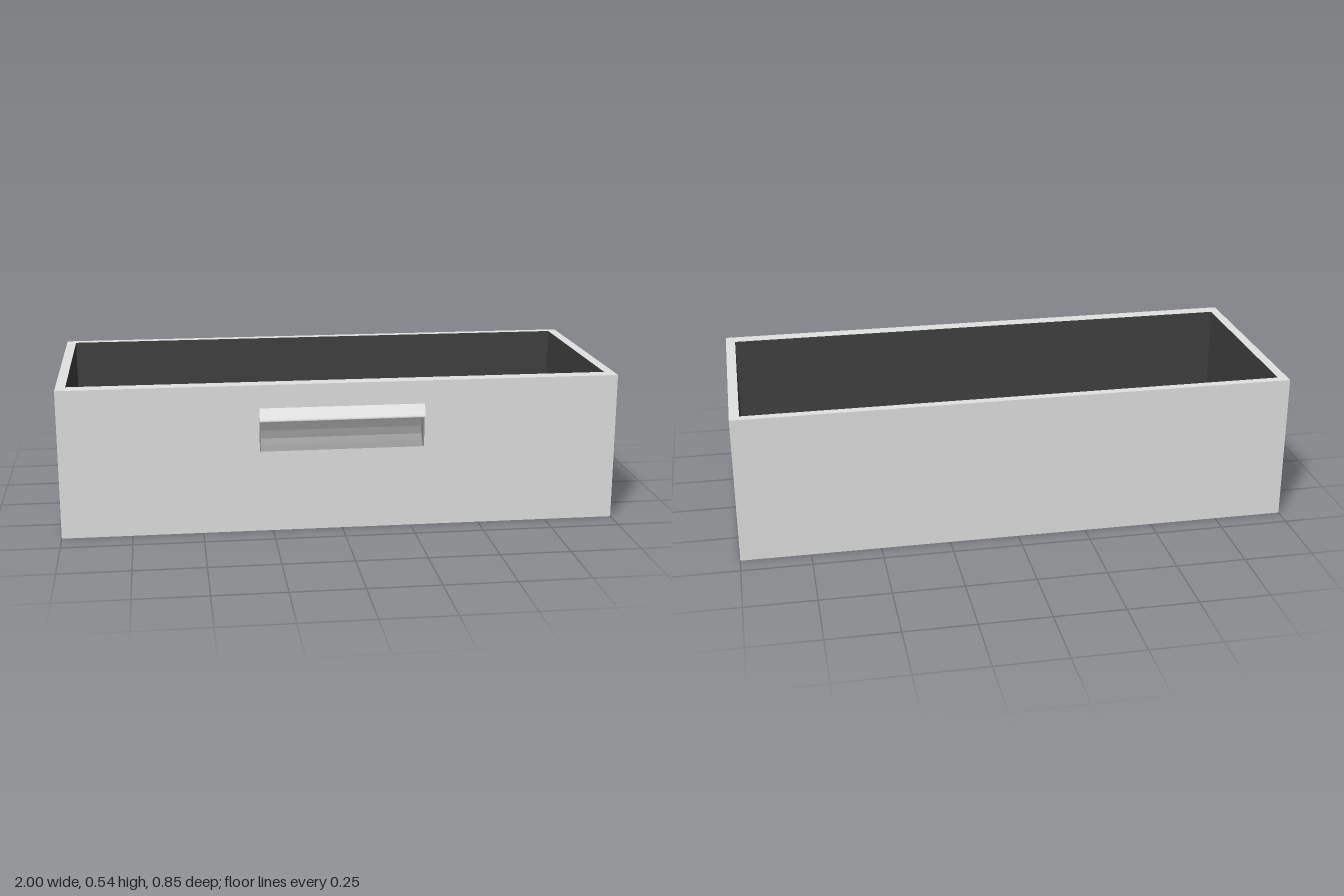
import * as THREE from 'three';

const mat = (name, color) => {
  const m = new THREE.MeshStandardMaterial({ color });
  m.name = name;
  return m;
};

export function createModel() {
  const body = mat('light grey body', 0xe2e2e2);
  const inner = mat('dark inner wall', 0x404040);
  const floor = mat('dark grey floor', 0x636363);
  const recess = mat('mid grey recess', 0x909090);

  const H = 0.537, back = -0.427, front = 0.406;
  const inBack = -0.395, inFront = 0.353, inX = 0.965, base = 0.09;
  const lining = inFront + 0.005;
  const hw = 0.295, low = 0.295, high = 0.41;
  const group = new THREE.Group();
  group.name = 'drawer';

  const add = (name, geometry, material) => {
    const m = new THREE.Mesh(geometry, material);
    m.name = name;
    group.add(m);
  };

  // box given by its limits
  const box = (name, x0, x1, y0, y1, z0, z1, material) => {
    const g = new THREE.BoxGeometry(x1 - x0, y1 - y0, z1 - z0);
    g.translate((x0 + x1) / 2, (y0 + y1) / 2, (z0 + z1) / 2);
    add(name, g, material);
  };

  // body material on all faces but one (order +x -x +y -y +z -z)
  const facing = (face, other) => Array.from({ length: 6 }, (_, i) => (i === face ? other : body));

  // z-y profile swept along x
  const sweep = (name, shape, material) => {
    const g = new THREE.ExtrudeGeometry(shape, { depth: hw * 2, bevelEnabled: false, curveSegments: 10 });
    g.rotateY(-Math.PI / 2).translate(hw, 0, 0);
    add(name, g, material);
  };

  // tray: bottom, back and side walls
  box('bottom', -inX, inX, 0, base, inBack, inFront, facing(2, floor));
  box('backWall', -1, 1, 0, H, back, inBack, facing(4, inner));
  box('leftWall', inX, 1, 0, H, inBack, inFront, facing(1, inner));
  box('rightWall', -1, -inX, 0, H, inBack, inFront, facing(0, inner));

  // front wall: lining plus a panel with the handle opening
  box('frontLining', -1, 1, 0, H, inFront, lining, facing(5, inner));
  const panel = new THREE.Shape([
    new THREE.Vector2(-1, 0), new THREE.Vector2(1, 0),
    new THREE.Vector2(1, H), new THREE.Vector2(-1, H),
  ]);
  panel.holes.push(new THREE.Path([
    new THREE.Vector2(-hw, low), new THREE.Vector2(-hw, high),
    new THREE.Vector2(hw, high), new THREE.Vector2(hw, low),
  ]));
  const panelGeo = new THREE.ExtrudeGeometry(panel, { depth: front - lining, bevelEnabled: false });
  panelGeo.translate(0, 0, lining);
  add('frontPanel', panelGeo, body);

  // finger recess: upright back, scooped out to the lower edge
  sweep('recess', new THREE.Shape([
    new THREE.Vector2(lining, low), new THREE.Vector2(front, low),
    new THREE.Vector2(0.385, 0.312), new THREE.Vector2(0.37, 0.333),
    new THREE.Vector2(0.364, 0.36), new THREE.Vector2(0.364, high),
    new THREE.Vector2(lining, high),
  ]), recess);
  box('recessTop', -hw, hw, high - 0.003, high, lining, front, recess);
  for (const s of [-1, 1]) {
    const x = s * (hw - 0.002);
    box('recessEnd', x - 0.002, x + 0.002, low, high, lining, front, recess);
  }

  // overhanging grip with a rounded tip
  const lip = new THREE.Shape();
  lip.moveTo(front - 0.002, 0.408);
  lip.lineTo(0.42, 0.405);
  lip.quadraticCurveTo(0.43, 0.405, 0.426, 0.415);
  lip.lineTo(front, 0.453);
  lip.lineTo(front - 0.002, 0.453);
  lip.closePath();
  sweep('handleLip', lip, body);

  return group;
}
